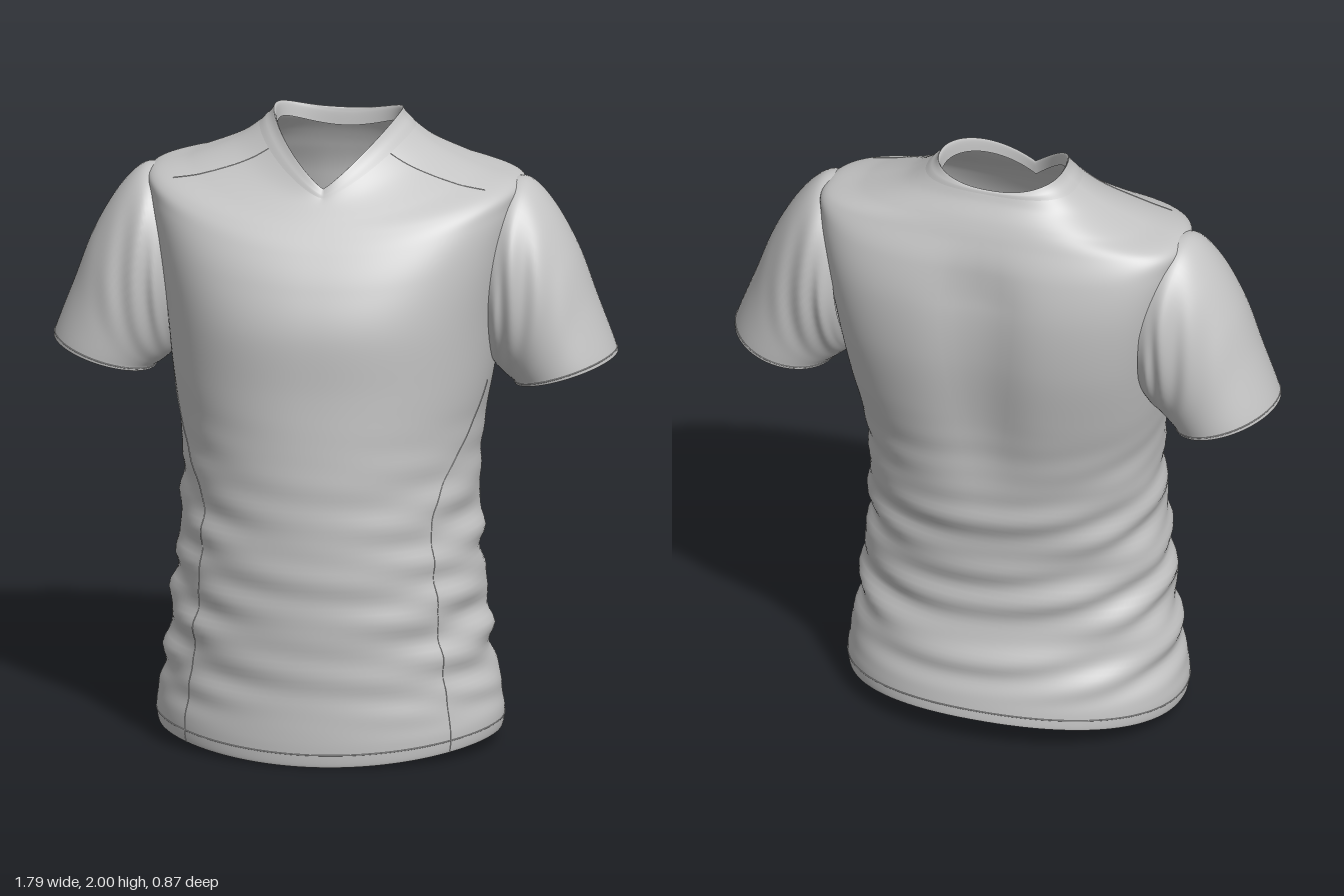
import * as THREE from 'three';

const fabric = new THREE.MeshStandardMaterial({ color: 0xc4c4c4, side: THREE.DoubleSide });
fabric.name = 'light grey fabric';

// Rings from hem to neck: side y, half width, side z, front y, front z,
// back y, back z, front roundness, back roundness, front dip power
const RINGS = [
  [0.17, 0.52, 0, 0.13, 0.385, 0.20, -0.365, 1, 0.95, 2],
  [0.05, 0.54, 0, 0.005, 0.41, 0.09, -0.405, 1, 0.95, 2],
  [0.11, 0.55, 0, 0.07, 0.418, 0.14, -0.40, 1, 0.95, 2],
  [0.22, 0.53, 0, 0.20, 0.415, 0.24, -0.375, 1, 0.95, 2],
  [0.40, 0.505, 0, 0.40, 0.422, 0.40, -0.335, 1, 0.95, 2],
  [0.60, 0.485, 0, 0.60, 0.43, 0.60, -0.33, 1, 0.95, 2],
  [0.80, 0.47, -0.02, 0.80, 0.43, 0.80, -0.355, 1, 0.9, 2],
  [1.00, 0.475, -0.04, 1.00, 0.425, 1.00, -0.38, 0.97, 0.82, 2],
  [1.20, 0.505, -0.07, 1.20, 0.415, 1.20, -0.415, 0.92, 0.72, 2],
  [1.40, 0.53, -0.10, 1.40, 0.41, 1.40, -0.442, 0.9, 0.64, 2],
  [1.60, 0.565, -0.11, 1.54, 0.365, 1.58, -0.443, 0.9, 0.62, 2],
  [1.74, 0.59, -0.12, 1.64, 0.31, 1.72, -0.415, 0.92, 0.66, 2],
];
// Shoulder slope, collar rim and the inside of the collar
RINGS.push(
  [1.805, 0.585, -0.13, 1.70, 0.265, 1.82, -0.372, 0.95, 0.72, 2],
  [1.842, 0.46, -0.13, 1.74, 0.23, 1.88, -0.345, 1, 0.75, 2],
  [1.90, 0.32, -0.14, 1.775, 0.195, 1.93, -0.315, 1.12, 0.75, 1.6],
  [1.97, 0.225, -0.15, 1.80, 0.17, 1.96, -0.30, 1.2, 0.72, 1.2],
  [2.00, 0.20, -0.16, 1.815, 0.155, 1.955, -0.29, 1.2, 0.72, 1.1],
  [1.955, 0.19, -0.16, 1.77, 0.16, 1.91, -0.285, 1.2, 0.72, 1.1],
);
const TOP = RINGS.length - 1;
const COLLAR = TOP - 2.3;

// Smooth blend of a table of rows at fractional row v
function blend(rows, v) {
  const i = Math.min(Math.floor(v), rows.length - 2), t = v - i;
  const at = (k) => rows[THREE.MathUtils.clamp(k, 0, rows.length - 1)];
  return rows[i].map((b, k) => {
    const a = at(i - 1)[k], c = at(i + 1)[k], d = at(i + 2)[k];
    return b + 0.5 * t * (c - a + t * (2 * a - 5 * b + 4 * c - d + t * (3 * (b - c) + d - a)));
  });
}

const step = THREE.MathUtils.smoothstep;

// Point on the torso: v counts rings upward, a = 0 is the front, PI / 2 the left side
function torsoPoint(v, a) {
  const [ys, w, cz, yf, zf, yb, zb, nf, nb, dip] = blend(RINGS, v);
  const s = Math.sin(a), c = Math.cos(a), front = c > 0;
  const n = front ? nf : nb;
  const across = Math.abs(s) ** n;
  let x = w * Math.sign(s) * across;
  let dz = ((front ? zf : zb) - cz) * Math.abs(c) ** n;
  const y = ys + ((front ? yf : yb) - ys) * (1 - across ** (front ? dip : 2));

  // gathered cloth around the waist, strongest at the sides and back
  const waist = step(v, 2, 3.5) * (1 - step(y, 0.55, 1.2));
  const strength = 0.005 + 0.011 * s * s + (front ? 0 : 0.011 * c * c);
  const wave = Math.sin(39 * y + 2.6 * Math.cos(2 * a) + 1.7 * s)
    + 0.6 * Math.sin(61 * y - 4 * c + 3 * s) + 0.5 * Math.sin(23 * y + 5 * c - 2 * s);
  const k = 1 + waist * strength * wave;
  x *= k;
  dz *= k;

  // hollow along the spine
  if (!front) dz += 0.042 * Math.exp(-((x / 0.13) ** 2)) * step(y, 0.7, 1.2) * (1 - step(y, 1.6, 1.85));
  return new THREE.Vector3(x, y, cz + dz);
}

// Closed tube of cloth from a surface function; skip() leaves openings
function clothGeometry(point, v0, v1, rows, cols, skip = () => false) {
  const pos = [], index = [];
  for (let i = 0; i <= rows; i++) {
    for (let j = 0; j < cols; j++) {
      pos.push(...point(v0 + ((v1 - v0) * i) / rows, (j / cols) * Math.PI * 2).toArray());
    }
  }
  for (let i = 0; i < rows; i++) {
    for (let j = 0; j < cols; j++) {
      const a = i * cols + j, b = i * cols + ((j + 1) % cols);
      if (skip(pos[3 * a], pos[3 * a + 1], pos[3 * a + 2])) continue;
      index.push(a, b, b + cols, a, b + cols, a + cols);
    }
  }
  const g = new THREE.BufferGeometry();
  g.setAttribute('position', new THREE.Float32BufferAttribute(pos, 3));
  g.setIndex(index);
  g.computeVertexNormals();
  return g;
}

// Sleeve rings: top x, top y, underside x, underside y, half depth, centre z
const SLEEVE = [
  [0.53, 1.80, 0.485, 1.25, 0.20, -0.125],
  [0.61, 1.807, 0.50, 1.225, 0.222, -0.12],
  [0.69, 1.73, 0.515, 1.205, 0.222, -0.115],
  [0.77, 1.59, 0.535, 1.187, 0.215, -0.11],
  [0.83, 1.43, 0.555, 1.172, 0.207, -0.11],
  [0.885, 1.285, 0.568, 1.165, 0.203, -0.11],
  [0.893, 1.25, 0.572, 1.155, 0.20, -0.11],
  [0.865, 1.285, 0.58, 1.185, 0.188, -0.11],
];

function sleevePoint(side, v, a) {
  const [tx, ty, bx, by, hz, cz] = blend(SLEEVE, v);
  const c = Math.cos(a), s = Math.sin(a);
  // folds fanning out from the armpit
  const fold = 0.035 * Math.sin(4 * v + 7 * c + s) * s * s * step(v, 0.3, 1.2) * (1 - step(v, 2, 4.5));
  const x = (tx + bx) / 2 + ((tx - bx) / 2) * c;
  const y = (ty + by) / 2 + ((ty - by) / 2) * c;
  return new THREE.Vector3(side * x, y, cz + side * hz * s * (1 + fold));
}

// Thin raised stitch line through points on the cloth
function stitch(name, points, closed = false) {
  const curve = new THREE.CatmullRomCurve3(points, closed);
  const m = new THREE.Mesh(new THREE.TubeGeometry(curve, points.length * 2, 0.002, 5, closed), fabric);
  m.name = name;
  return m;
}

const sample = (n, f) => Array.from({ length: n }, (_, i) => f(i / n));

export function createModel() {
  const shirt = new THREE.Group();
  shirt.name = 'shirt';
  const add = (name, geometry) => {
    const m = new THREE.Mesh(geometry, fabric);
    m.name = name;
    shirt.add(m);
  };

  // Torso with open armholes under the sleeves
  const armhole = (x, y, z) =>
    Math.abs(x) > 0.43 && ((y - 1.51) / 0.25) ** 2 + ((z + 0.12) / 0.165) ** 2 < 1;
  add('torso', clothGeometry(torsoPoint, 0, COLLAR, 150, 144, armhole));
  add('collar', clothGeometry((v, a) => {
    const p = torsoPoint(v, a);
    p.y += 0.004 * step(v, COLLAR, COLLAR + 0.2) * (1 - step(v, TOP - 1.2, TOP - 1));
    return p;
  }, COLLAR, TOP, 24, 144));

  // Panel closing the inside of the shirt just above the hem
  add('innerPanel', clothGeometry((t, a) => {
    const p = torsoPoint(0, a);
    const r = Math.cos(t * Math.PI / 2);
    return new THREE.Vector3(p.x * r, p.y * r + 0.18 * (1 - r) + 0.03 * Math.sin(t * Math.PI / 2), p.z * r);
  }, 0, 1, 10, 144));

  shirt.add(stitch('hemStitch', sample(96, (t) => torsoPoint(1.75, t * Math.PI * 2)), true));

  for (const side of [1, -1]) {
    const label = side > 0 ? 'left' : 'right';
    add(label + 'Sleeve', clothGeometry((v, a) => sleevePoint(side, v, a), 0, SLEEVE.length - 1, 56, 64));
    shirt.add(stitch(label + 'CuffStitch', sample(40, (t) => sleevePoint(side, 5.3, t * Math.PI * 2)), true));

    // Side panel seam, curving back toward the armpit
    shirt.add(stitch(label + 'SideSeam', sample(60, (t) => {
      const v = 1.2 + 6.8 * t;
      return torsoPoint(v, side * (0.88 + 0.6 * step(v, 5.8, 8.2)));
    })));
    // Shoulder seam from the collar to the sleeve
    shirt.add(stitch(label + 'ShoulderSeam', sample(24, (t) =>
      torsoPoint(COLLAR - 2.4 * t, side * (0.95 + 0.2 * t)))));
  }
  return shirt;
}
